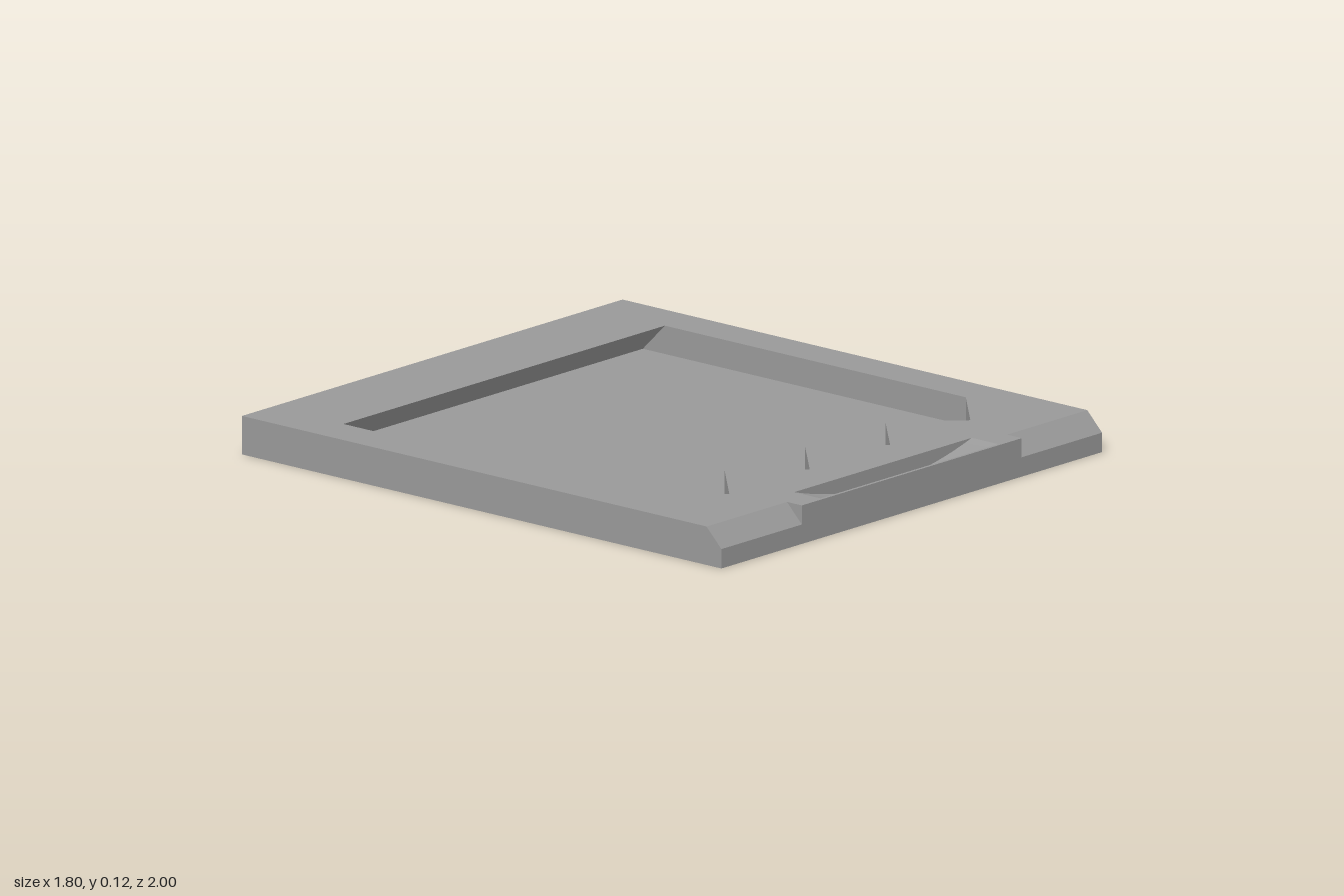
import * as THREE from 'three';
import { toCreasedNormals } from 'three/addons/utils/BufferGeometryUtils.js';

const W = 0.9, TOP = 0.125, FLOOR = 0.033, FRONT = 0.88; // half width, heights, start of front bar
const DEPTH = TOP - FLOOR;

export function createModel() {
  const model = new THREE.Group();
  const grey = new THREE.MeshStandardMaterial({ color: 0x999999 });
  grey.name = 'plain grey';

  const add = (name, geometry) => {
    const mesh = new THREE.Mesh(geometry, grey);
    mesh.name = name;
    model.add(mesh);
  };
  const box = (w, h, d, x, y, z) => new THREE.BoxGeometry(w, h, d).translate(x, y, z);
  const extrude = (shape, depth) =>
    new THREE.ExtrudeGeometry(shape, { depth, bevelEnabled: false, curveSegments: 32 });
  const polygon = (pts) => pts.map(([x, y]) => new THREE.Vector2(x, y));

  // Base slab, whose top is the floor of the recess
  add('base', box(2 * W, FLOOR, 2, 0, FLOOR / 2, 0));

  // Frame around the recess, with a zigzag front edge (shape y is -z)
  const frame = new THREE.Shape(polygon([[-W, -FRONT], [W, -FRONT], [W, 1], [-W, 1]]));
  const opening = [[0.76, 0.7], [-0.76, 0.7]];
  for (let i = 0; i <= 8; i++) opening.push([-0.76 + i * 0.19, i % 2 ? -0.742 : -0.555]);
  frame.holes.push(new THREE.Path(polygon(opening)));
  const frameGeo = extrude(frame, DEPTH).rotateX(-Math.PI / 2).translate(0, FLOOR, 0);
  // Undercut the back wall of the recess
  const pos = frameGeo.attributes.position;
  for (let i = 0; i < pos.count; i++) {
    if (pos.getY(i) < FLOOR + 0.001 && Math.abs(pos.getZ(i) + 0.7) < 0.001) pos.setZ(i, -0.7 - DEPTH);
  }
  frameGeo.computeVertexNormals();
  add('frame', frameGeo);

  // Chamfered front corners
  const corner = new THREE.Shape(
    polygon([[FRONT, FLOOR], [1, FLOOR], [1, 0.063], [0.938, TOP], [FRONT, TOP]]));
  for (const [name, x] of [['leftCorner', W], ['rightCorner', -0.52]]) {
    add(name, extrude(corner, W - 0.52).rotateY(-Math.PI / 2).translate(x, 0, 0));
  }

  // Shallow curved finger scoop between the corners, closed by a thin lip
  const scoop = new THREE.Shape();
  scoop.moveTo(-0.52, FLOOR);
  scoop.lineTo(0.52, FLOOR);
  scoop.lineTo(0.52, TOP);
  scoop.lineTo(0.42, TOP);
  scoop.quadraticCurveTo(0, TOP - 0.13, -0.42, TOP);
  scoop.lineTo(-0.52, TOP);
  scoop.closePath();
  add('fingerScoop', toCreasedNormals(extrude(scoop, 0.11).translate(0, 0, FRONT), 0.2));
  add('frontLip', box(1.04, DEPTH, 0.01, 0, FLOOR + DEPTH / 2, 0.995));

  return model;
}
